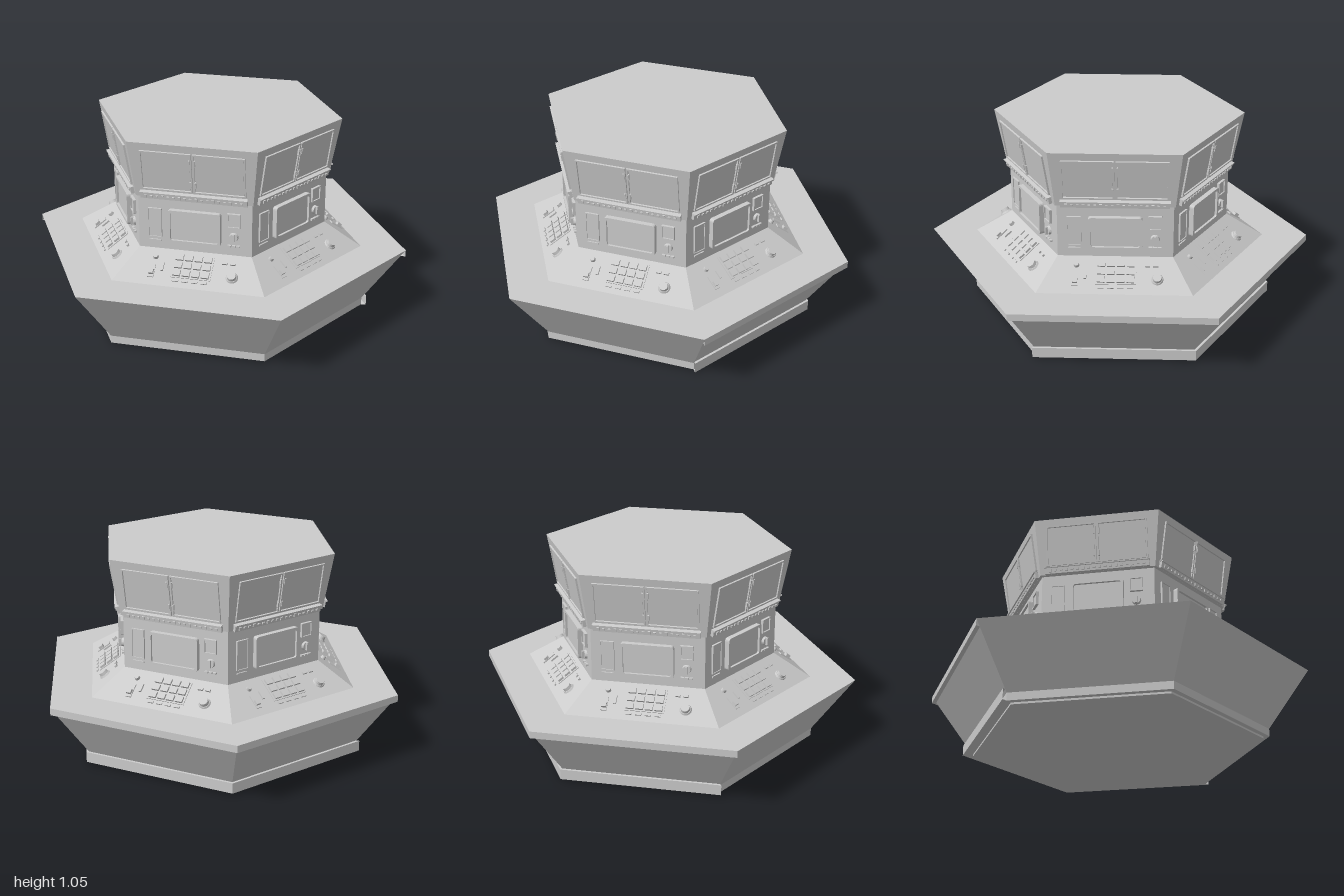
import * as THREE from 'three';

const SIDES = 6;
const mat = new THREE.MeshStandardMaterial({ color: 0xcccccc, flatShading: true, side: THREE.DoubleSide });

function add(parent, name, geometry, x = 0, y = 0, z = 0) {
  const m = new THREE.Mesh(geometry, mat);
  m.name = name;
  m.position.set(x, y, z);
  parent.add(m);
  return m;
}

// Hexagonal ring swept from a [radius, height] profile
function hex(parent, name, profile, first = 0, count = SIDES) {
  const step = (Math.PI * 2) / SIDES;
  const pts = profile.map(([r, y]) => new THREE.Vector2(r, y));
  return add(parent, name, new THREE.LatheGeometry(pts, count, first * step, count * step));
}

// Box sitting on the surface z = 0, proud by d
function plate(parent, name, x, y, w, h, d) {
  return add(parent, name, new THREE.BoxGeometry(w, h, d), x, y, d / 2);
}

// Round knob sitting on the surface z = 0
function knob(parent, name, x, y, r, d) {
  const g = new THREE.CylinderGeometry(r * 0.85, r, d, 16).rotateX(Math.PI / 2);
  return add(parent, name, g, x, y, d / 2);
}

function roundRect(target, w, h, r) {
  const x = w / 2, y = h / 2;
  target.moveTo(-x + r, -y);
  target.lineTo(x - r, -y).quadraticCurveTo(x, -y, x, -y + r);
  target.lineTo(x, y - r).quadraticCurveTo(x, y, x - r, y);
  target.lineTo(-x + r, y).quadraticCurveTo(-x, y, -x, y - r);
  target.lineTo(-x, -y + r).quadraticCurveTo(-x, -y, -x + r, -y);
  return target;
}

// Rectangular frame with an opening
function frame(parent, name, x, y, w, h, border, depth, r) {
  const shape = roundRect(new THREE.Shape(), w, h, r);
  shape.holes.push(roundRect(new THREE.Path(), w - 2 * border, h - 2 * border, r * 0.7));
  return add(parent, name, new THREE.ExtrudeGeometry(shape, { depth, bevelEnabled: false, curveSegments: 4 }), x, y, 0);
}

// Group lying on one surface of a side, tilted about its horizontal axis
function surface(parent, name, y, z, tilt) {
  const g = new THREE.Group();
  g.name = name;
  g.position.set(0, y, z);
  g.rotation.x = tilt;
  parent.add(g);
  return g;
}

function overheadWindows(side) {
  const g = surface(side, 'overheadWindows', 0.905, 0.531, 0.158);
  for (const s of [-1, 1]) {
    frame(g, 'windowFrame', s * 0.131, 0, 0.256, 0.215, 0.008, 0.009, 0.003);
    plate(g, 'windowPane', s * 0.131, 0, 0.236, 0.195, 0.003);
    for (const y of [-0.06, 0.06]) plate(g, 'hinge', s * 0.012, y, 0.008, 0.03, 0.013);
  }
  // Ledge with a row of small switches
  plate(g, 'ledge', 0, -0.134, 0.53, 0.036, 0.016);
  plate(g, 'ledgeLip', 0, -0.118, 0.535, 0.006, 0.024);
  for (let i = 0; i < 18; i++) {
    plate(g, 'ledgeSwitch', -0.238 + i * 0.028, -0.137, 0.013, i % 3 ? 0.009 : 0.016, 0.022);
  }
}

function wallInstruments(side) {
  const g = surface(side, 'wallInstruments', 0.61, 0.494, 0);
  frame(g, 'monitorFrame', 0, 0, 0.265, 0.172, 0.013, 0.026, 0.016);
  plate(g, 'monitorScreen', 0, 0, 0.242, 0.15, 0.014);
  frame(g, 'sidePanelFrame', -0.202, 0.005, 0.07, 0.155, 0.005, 0.01, 0.002);
  plate(g, 'sidePanel', -0.202, 0.005, 0.06, 0.145, 0.005);
  frame(g, 'gaugeFrame', 0.195, 0.053, 0.066, 0.075, 0.006, 0.014, 0.002);
  plate(g, 'gaugePanel', 0.195, 0.053, 0.056, 0.065, 0.007);
  knob(g, 'dialBase', 0.195, -0.035, 0.023, 0.012);
  plate(g, 'dialGrip', 0.195, -0.035, 0.01, 0.04, 0.024);
  for (const x of [0.173, 0.195, 0.217]) plate(g, 'wallButton', x, -0.083, 0.018, 0.009, 0.012);
  plate(g, 'lowerStrip', -0.202, -0.09, 0.06, 0.008, 0.007);
}

function controlDesk(side) {
  const g = surface(side, 'slopedControls', 0.415, 0.5783, -0.953);
  // Keypad
  plate(g, 'keypadBase', 0.005, 0.015, 0.2, 0.132, 0.004);
  for (let row = 0; row < 3; row++) {
    for (let col = 0; col < 4; col++) {
      plate(g, 'key', -0.067 + col * 0.048, 0.058 - row * 0.043, 0.038, 0.031, 0.015);
    }
  }
  for (let i = 0; i < 4; i++) plate(g, 'indicator', -0.067 + i * 0.048, -0.068, 0.03, 0.01, 0.007);
  // Large knob with indicator bars
  knob(g, 'largeKnobBase', 0.208, -0.02, 0.031, 0.008);
  knob(g, 'largeKnob', 0.208, -0.02, 0.025, 0.024);
  for (const x of [0.16, 0.2]) plate(g, 'smallSwitch', x, 0.052, 0.025, 0.012, 0.01);
  // Lever and small knob
  knob(g, 'smallKnob', -0.19, 0.052, 0.014, 0.016);
  plate(g, 'leverSlot', -0.195, -0.025, 0.03, 0.075, 0.006);
  plate(g, 'leverHandle', -0.195, -0.036, 0.024, 0.025, 0.02);
  plate(g, 'slider', -0.145, 0.0, 0.012, 0.045, 0.009);
}

export function createModel() {
  const model = new THREE.Group();
  model.name = 'hexagonalConsole';

  // Shell, from the floor up
  hex(model, 'footPlate', [[0, 0], [0.755, 0], [0.755, 0.01], [0.785, 0.01]]);
  hex(model, 'baseSkirt', [[0.785, 0.01], [0.785, 0.05]]);
  hex(model, 'flaredBody', [[0.785, 0.05], [1, 0.355]]);
  hex(model, 'deskTop', [[1, 0.355], [0.765, 0.355]]);
  hex(model, 'controlSlope', [[0.765, 0.355], [0.57, 0.475]]);
  hex(model, 'centralWall', [[0.57, 0.475], [0.57, 0.752], [0.585, 0.755]]);
  hex(model, 'canopy', [[0.585, 0.755], [0.64, 1.05], [0, 1.05]]);

  // Trim along three sides only
  hex(model, 'deskRim', [[0.97, 0.32], [1, 0.32], [1, 0.356], [0.985, 0.356]], 2, 3);
  hex(model, 'skirtTrim', [[0.78, 0.01], [0.81, 0.01], [0.81, 0.065], [0.785, 0.065]], 2, 3);

  // The same instruments on every side
  for (let i = 0; i < SIDES; i++) {
    const side = new THREE.Group();
    side.name = 'consoleSide';
    side.rotation.y = ((i + 0.5) / SIDES) * Math.PI * 2;
    overheadWindows(side);
    wallInstruments(side);
    controlDesk(side);
    model.add(side);
  }
  return model;
}
